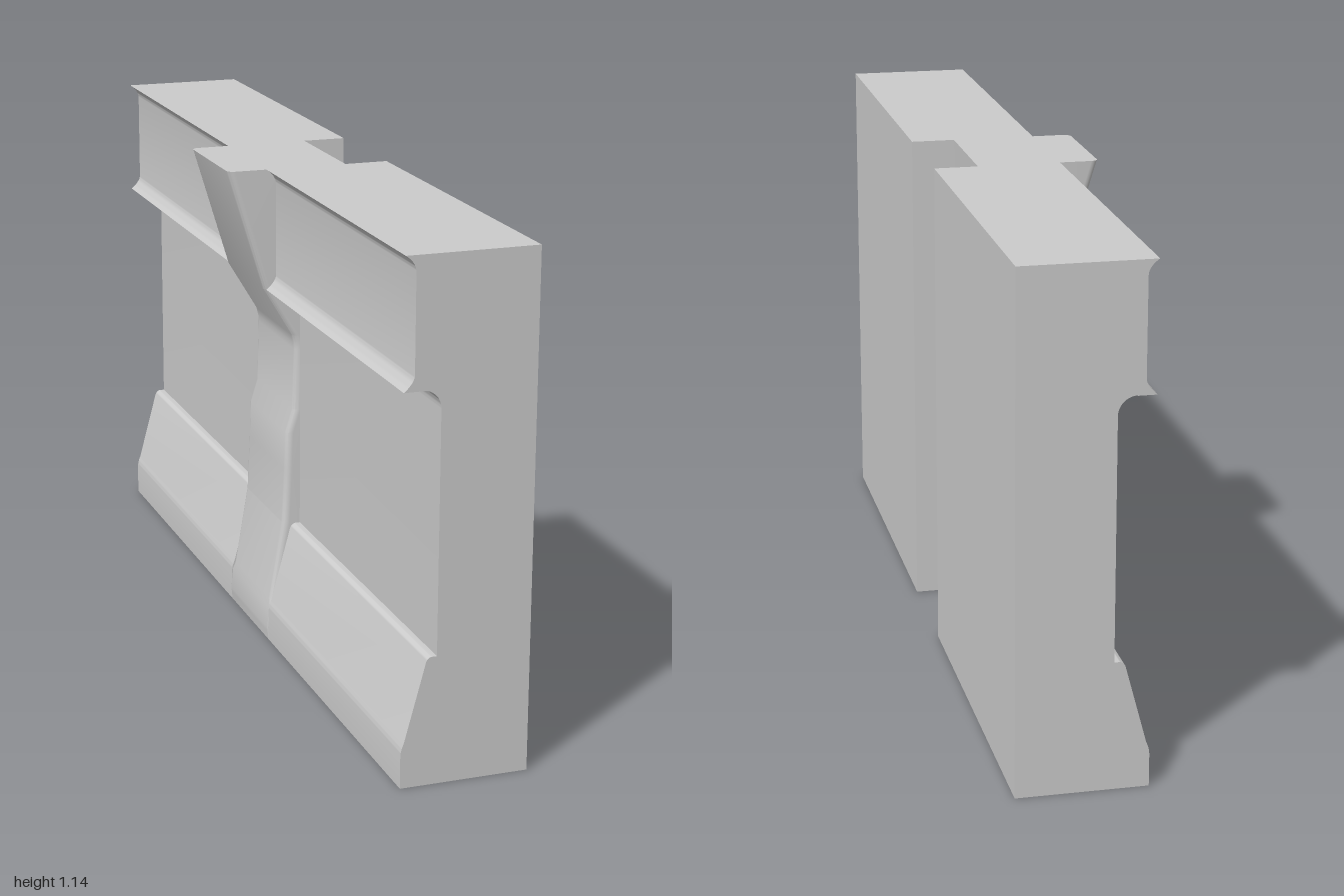
import * as THREE from 'three';
import { toCreasedNormals } from 'three/addons/utils/BufferGeometryUtils.js';

const HEIGHT = 1.14, HALF_RIB = 0.142, BACK = 0.19;

// [y, x] profiles of the central rib: moulded face and recessed rear face
const ribFace = [[0, -0.097], [0.03, -0.1], [0.08, -0.095], [0.29, -0.06], [0.42, -0.054], [0.51, -0.051],
  [0.565, -0.034], [0.71, -0.03], [0.725, -0.031], [0.745, -0.036], [0.86, -0.105], [HEIGHT, -0.19]];
const ribRear = [[0, -0.085], [0.02, -0.085], [0.288, 0.08], [0.86, 0.08], [HEIGHT, 0.09]];

function sample(profile, y) {
  for (let i = 1; i < profile.length; i++) {
    const [y0, x0] = profile[i - 1], [y1, x1] = profile[i];
    if (y <= y1) return x0 + (x1 - x0) * (y - y0) / (y1 - y0);
  }
  return profile[profile.length - 1][1];
}

// Moulded wall section swept along z
function panelGeometry() {
  const s = new THREE.Shape();
  s.moveTo(BACK, 0);
  s.lineTo(BACK, HEIGHT);
  s.lineTo(-0.1, HEIGHT);
  s.quadraticCurveTo(-0.077, 1.125, -0.077, 1.105);
  s.lineTo(-0.077, 0.895);
  s.quadraticCurveTo(-0.077, 0.88, -0.1, 0.86);
  s.lineTo(-0.06, 0.86);
  s.absarc(-0.06, 0.82, 0.041, Math.PI / 2, 0, true);
  s.lineTo(-0.019, 0.287);
  s.lineTo(-0.03, 0.287);
  s.quadraticCurveTo(-0.041, 0.286, -0.044, 0.272);
  s.lineTo(-0.09, 0.1);
  s.quadraticCurveTo(-0.097, 0.085, -0.097, 0.07);
  s.lineTo(-0.097, 0);
  const g = new THREE.ExtrudeGeometry(s, { depth: 1 - HALF_RIB, bevelEnabled: false, curveSegments: 10 });
  return toCreasedNormals(g, 0.5);
}

// Horizontal section of the rib, with its two outer corners rounded
function ribRing(y) {
  const f = sample(ribFace, y), b = sample(ribRear, y), r = y < 0.1 ? 0.003 : 0.016, w = HALF_RIB;
  const ring = [[b, -w], [b, w]];
  for (const side of [1, -1]) {
    for (let k = 0; k <= 4; k++) {
      const a = (side > 0 ? k : 4 - k) / 4 * Math.PI / 2;
      ring.push([f + r - r * Math.sin(a), side * (w - r + r * Math.cos(a))]);
    }
  }
  return ring.map(([x, z]) => [x, y, z]);
}

function ribGeometry() {
  const ys = [...new Set([...ribFace, ...ribRear].map(p => p[0]).concat(0.1))].sort((a, b) => a - b);
  const rings = ys.map(ribRing), n = rings[0].length, top = (rings.length - 1) * n;
  const index = [];
  for (let j = 0; j < rings.length - 1; j++) {
    for (let i = 0; i < n; i++) {
      const a = j * n + i, b = j * n + (i + 1) % n;
      index.push(a, a + n, b, b, a + n, b + n);
    }
  }
  for (let i = 1; i < n - 1; i++) index.push(0, i, i + 1, top, top + i + 1, top + i);
  const g = new THREE.BufferGeometry();
  g.setAttribute('position', new THREE.Float32BufferAttribute(rings.flat(2), 3));
  g.setIndex(index);
  return toCreasedNormals(g, 0.45);
}

export function createModel() {
  const group = new THREE.Group();
  group.name = 'mouldedWallPanel';
  const material = new THREE.MeshStandardMaterial({ color: 0xcccccc });
  const add = (name, geometry, z) => {
    const mesh = new THREE.Mesh(geometry, material);
    mesh.name = name;
    mesh.position.z = z;
    group.add(mesh);
  };

  // Two matching wall panels either side of the rib
  const panel = panelGeometry();
  add('frontPanel', panel, HALF_RIB);
  add('rearPanel', panel, -1);

  // Central rib, proud on the moulded side and set back on the flat side
  add('centralRib', ribGeometry(), 0);
  return group;
}
